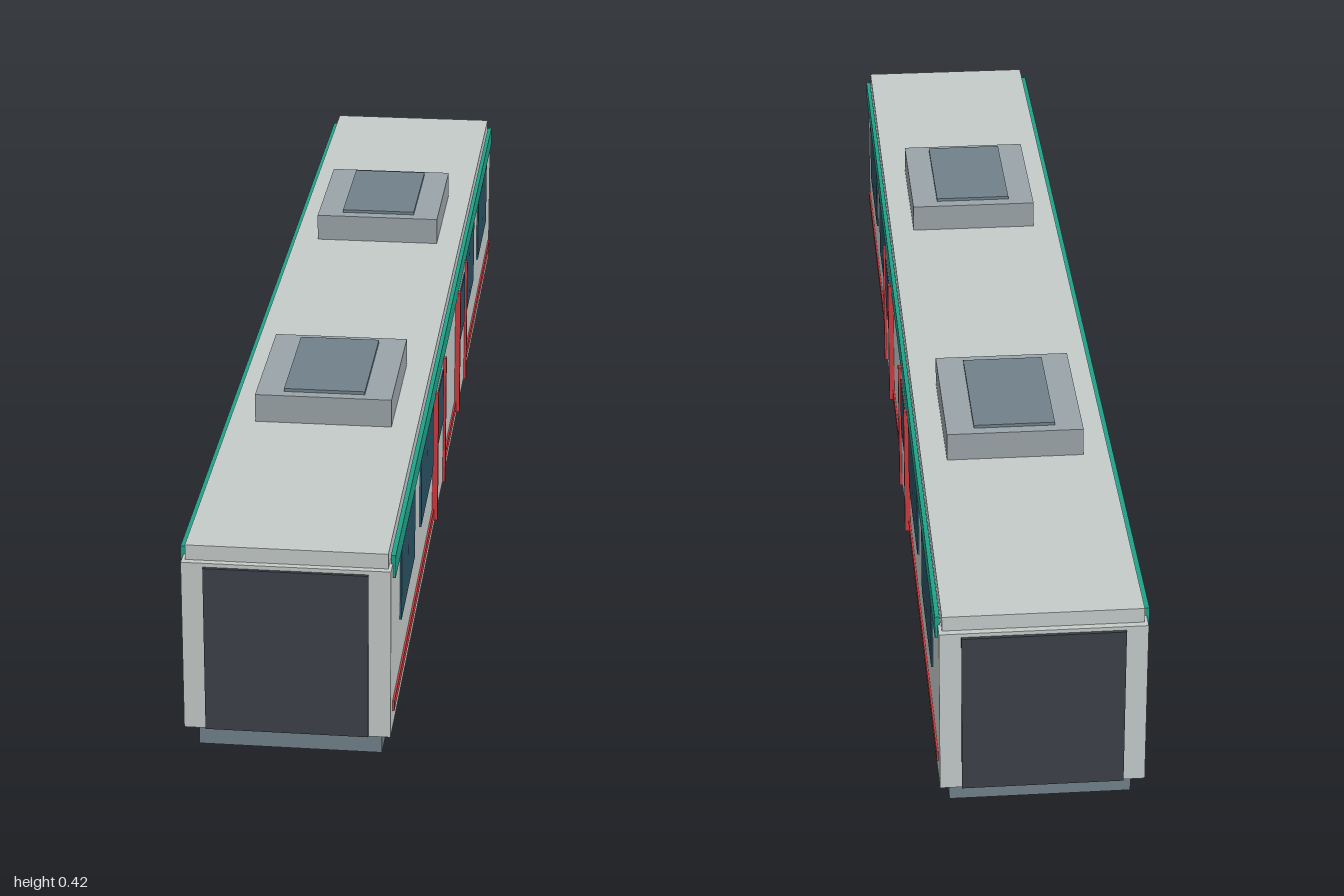
import * as THREE from 'three';

const mat = (name, color) => new THREE.MeshStandardMaterial({ name, color });

export function createModel() {
  const shell = mat('pale grey shell', 0xc4cbc9);
  const slate = mat('slate underframe', 0x71818a);
  const steel = mat('steel grey', 0x9aa4a9);
  const dark = mat('charcoal', 0x3d4048);
  const green = mat('green band', 0x20a189);
  const red = mat('red trim', 0xcb3a3f);
  const glass = mat('window glass', 0x2b5163);

  const model = new THREE.Group();
  model.name = 'railCar';

  // Box given by its extents on each axis
  function box(name, material, [x0, x1], [y0, y1], [z0, z1]) {
    const mesh = new THREE.Mesh(new THREE.BoxGeometry(x1 - x0, y1 - y0, z1 - z0), material);
    mesh.position.set((x0 + x1) / 2, (y0 + y1) / 2, (z0 + z1) / 2);
    mesh.name = name;
    model.add(mesh);
    return mesh;
  }
  // Strip lying on one side wall, sticking out to |x| = outer
  function sidePart(name, material, side, outer, y, z) {
    const x = side > 0 ? [0.148, outer] : [-outer, -0.148];
    return box(name, material, x, y, z);
  }
  const flip = (s, [a, b]) => (s > 0 ? [a, b] : [-b, -a]);

  // Main volumes
  box('body', shell, [-0.151, 0.151], [0.081, 0.347], [-0.995, 0.995]);
  box('roof', shell, [-0.146, 0.146], [0.347, 0.37], [-0.985, 0.985]);
  box('underframe', slate, [-0.135, 0.135], [0.034, 0.081], [-0.957, 0.957]);

  // Side bands, shared by both walls
  for (const side of [1, -1]) {
    sidePart('upperBand', green, side, 0.155, [0.325, 0.36], [-0.968, 0.968]);
    for (const z of [[0.3, 0.968], [-0.15, 0.15], [-0.968, -0.3]])
      sidePart('lowerStripe', red, side, 0.154, [0.11, 0.126], z);
  }

  for (const end of [1, -1]) {
    // Gangway panel closing each end
    box('endPanel', dark, [-0.119, 0.119], [0.082, 0.341], flip(end, [0.992, 1]));

    // Roof unit with its raised cover
    box('roofUnit', steel, [-0.106, 0.106], [0.37, 0.415], flip(end, [0.283, 0.535]));
    box('roofUnitCover', slate, [-0.063, 0.063], [0.415, 0.42], flip(end, [0.303, 0.518]));

    // Bogie plate, wheels and axle boxes
    box('bogieFrame', dark, [-0.124, 0.124], [0.027, 0.037], flip(end, [0.487, 0.76]));
    for (const z of [0.55, 0.7]) {
      for (const side of [1, -1]) {
        const r = 0.03 / Math.cos(Math.PI / 8);
        const wheel = new THREE.Mesh(
          new THREE.CylinderGeometry(r, r, 0.023, 8, 1, false, Math.PI / 8).toNonIndexed(), dark);
        wheel.geometry.computeVertexNormals();
        wheel.rotation.z = Math.PI / 2;
        wheel.position.set(side * 0.106, 0.03, end * z);
        wheel.name = 'wheel';
        model.add(wheel);
        box('axleBox', steel, flip(side, [0.1, 0.128]), [0.017, 0.035],
          [end * z - 0.016, end * z + 0.016]);
      }
    }

    for (const side of [1, -1]) {
      // Paired windows
      for (const z of [0.326, 0.433 + 0.001, 0.647, 0.755])
        sidePart('window', glass, side, 0.154, [0.205, 0.319], flip(end, [z, z + 0.107]));

      // Door leaf, its window and the red posts
      sidePart('door', shell, side, 0.1555, [0.108, 0.33], flip(end, [0.15, 0.3]));
      sidePart('doorWindow', glass, side, 0.1575, [0.227, 0.319], flip(end, [0.171, 0.279]));
      for (const z of [0.15, 0.301])
        sidePart('doorPost', red, side, 0.16, [0.107, 0.331], flip(end, [z - 0.005, z + 0.005]));
    }
  }
  return model;
}
